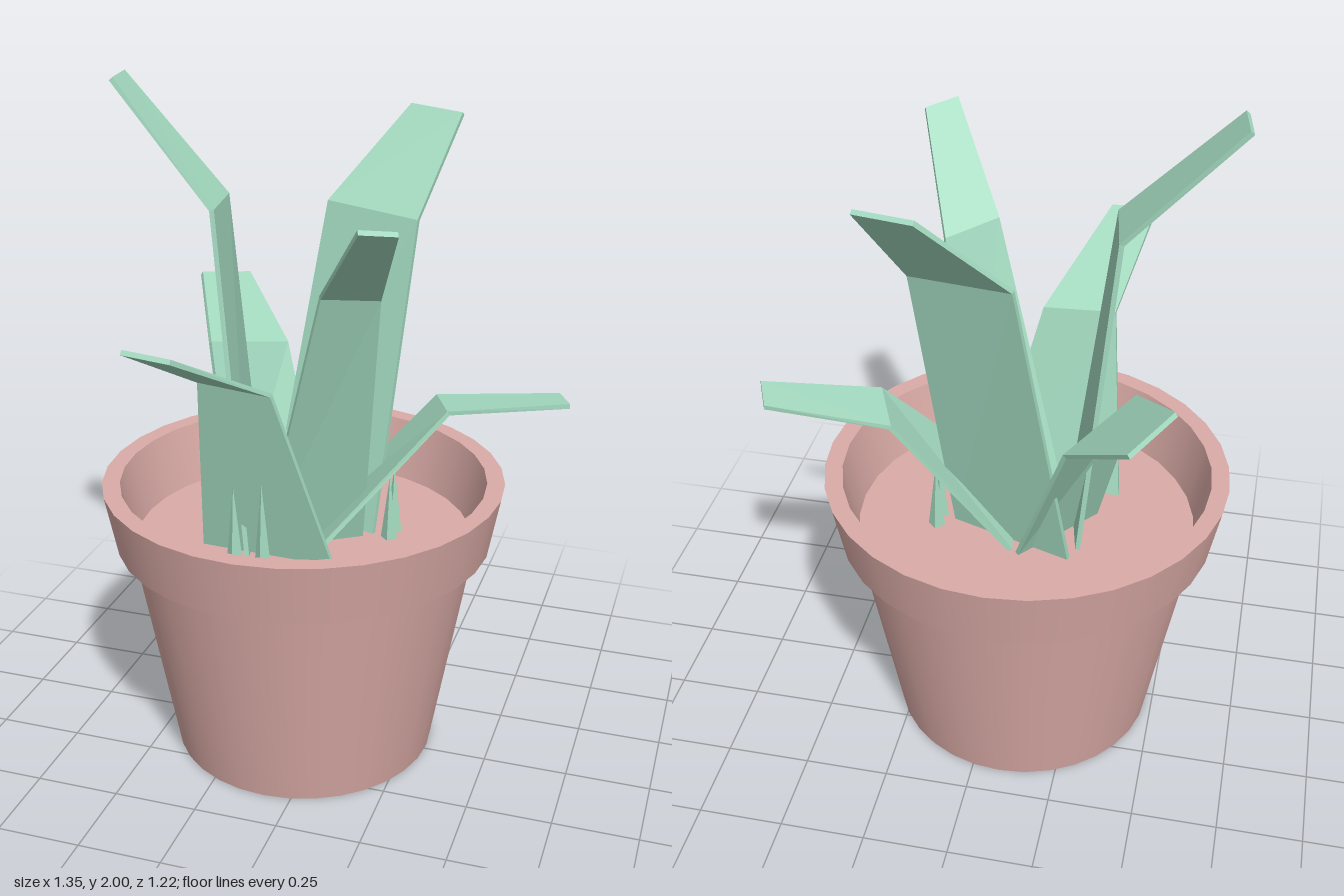
import * as THREE from 'three';
import { mergeGeometries } from 'three/addons/utils/BufferGeometryUtils.js';

const V = (p) => new THREE.Vector3(...p);

// Spin each straight run of the profile separately, so its corners stay sharp
function sharpLathe(profile, sides) {
  const bands = [];
  for (let i = 0; i < profile.length - 1; i++) {
    const ends = [profile[i], profile[i + 1]].map(([r, y]) => new THREE.Vector2(r, y));
    bands.push(new THREE.LatheGeometry(ends, sides));
  }
  return mergeGeometries(bands);
}

// Thin folded blade: each row is a [left, right] pair of points, from base to tip
function bladeGeometry(rows, thickness) {
  const last = rows.length - 1;
  const pts = rows.map((row) => row.map(V));
  const mid = pts.map(([l, r]) => l.clone().add(r).multiplyScalar(0.5));
  const normals = pts.map(([l, r], i) => {
    const along = mid[Math.min(i + 1, last)].clone().sub(mid[Math.max(i - 1, 0)]);
    return r.clone().sub(l).cross(along).normalize();
  });
  const geo = new THREE.BoxGeometry(1, last, 1, 1, last, 1);
  const pos = geo.attributes.position;
  for (let k = 0; k < pos.count; k++) {
    const row = Math.round(pos.getY(k) + last / 2);
    const side = pos.getX(k) > 0 ? 1 : 0;
    const p = pts[row][side].clone().addScaledVector(normals[row], pos.getZ(k) * thickness);
    pos.setXYZ(k, p.x, p.y, p.z);
  }
  geo.computeVertexNormals();
  return geo;
}

export function createModel() {
  const model = new THREE.Group();
  const clay = new THREE.MeshStandardMaterial({ color: 0xdaaba6 });
  clay.name = 'pink clay';
  const green = new THREE.MeshStandardMaterial({ color: 0xa3d9bf, flatShading: true });
  green.name = 'leaf green';

  const add = (name, geometry, material) => {
    const mesh = new THREE.Mesh(geometry, material);
    mesh.name = name;
    model.add(mesh);
    return mesh;
  };

  // Pot: base, tapered wall, overhanging rim, inner wall
  const pot = add('pot', sharpLathe([
    [0, 0], [0.395, 0], [0.515, 0.68], [0.557, 0.68], [0.592, 0.865], [0.54, 0.865], [0.5, 0.68],
  ], 32), clay);
  const soil = add('soil', sharpLathe([[0.5, 0.68], [0, 0.68]], 32), clay);
  for (const part of [pot, soil]) part.position.set(-0.083, 0, -0.02);

  // Leaves: base, fold and tip edges
  const leaves = {
    tallLeftLeaf: [
      [[-0.19, 0.68, 0.185], [-0.26, 0.68, -0.145]],
      [[-0.31, 1.67, 0.08], [-0.34, 1.67, -0.115]],
      [[-0.62, 2.0, 0.02], [-0.64, 2.0, -0.105]],
    ],
    backLeftLeaf: [
      [[-0.285, 0.68, 0.04], [-0.09, 0.68, -0.2]],
      [[-0.405, 1.215, -0.112], [-0.245, 1.155, -0.346]],
      [[-0.53, 1.345, -0.367], [-0.432, 1.31, -0.525]],
    ],
    tallBackLeaf: [
      [[-0.24, 0.68, -0.19], [0.12, 0.68, -0.07]],
      [[-0.1, 1.62, -0.32], [0.19, 1.6, -0.25]],
      [[0.1, 1.88, -0.5], [0.265, 1.87, -0.454]],
    ],
    frontRightLeaf: [
      [[0.09, 0.68, -0.05], [-0.17, 0.68, 0.12]],
      [[0.195, 1.49, 0.162], [0.063, 1.515, 0.272]],
      [[0.317, 1.75, 0.45], [0.235, 1.765, 0.515]],
    ],
    lowRightLeaf: [
      [[-0.07, 0.68, -0.19], [-0.01, 0.68, 0.155]],
      [[0.27, 1.085, -0.215], [0.34, 1.1, -0.054]],
      [[0.625, 1.12, -0.24], [0.67, 1.13, -0.137]],
    ],
    frontLeaf: [
      [[0.065, 0.68, 0.16], [-0.34, 0.68, 0.14]],
      [[-0.073, 1.23, 0.28], [-0.288, 1.245, 0.27]],
      [[-0.222, 1.42, 0.6], [-0.357, 1.43, 0.595]],
    ],
  };
  for (const [name, rows] of Object.entries(leaves)) add(name, bladeGeometry(rows, 0.014), green);

  // Small pointed shoots beside the front and right leaves
  const shoots = [
    [-0.21, 0.23, 0.92], [-0.125, 0.23, 0.94], [0.17, -0.06, 0.88], [0.17, -0.11, 0.89],
  ];
  for (const [x, z, top] of shoots) {
    const shoot = add('shoot', new THREE.ConeGeometry(0.025, top - 0.68, 4), green);
    shoot.position.set(x, (top + 0.68) / 2, z);
  }
  return model;
}
